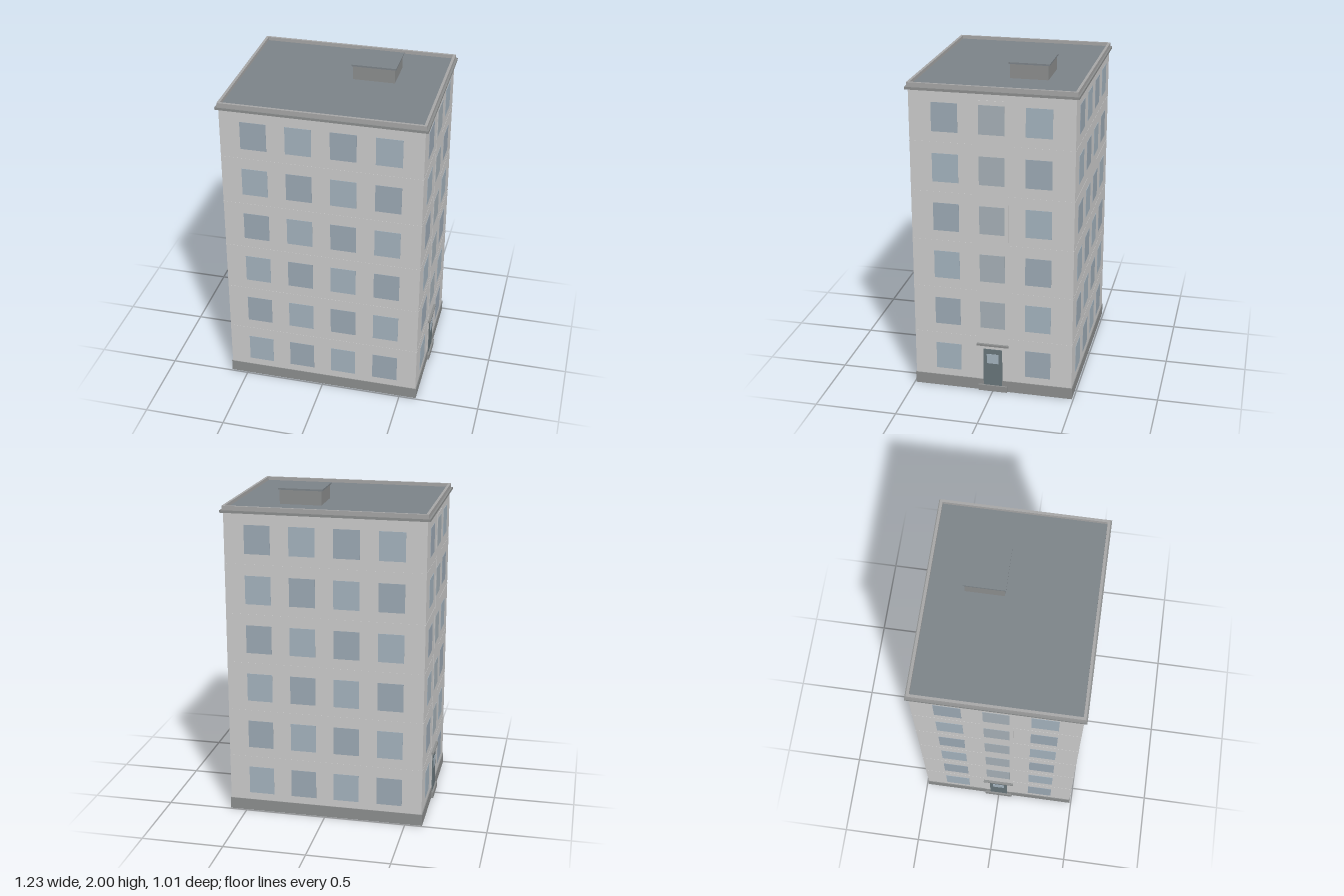
import * as THREE from 'three';

const material = (color) => new THREE.MeshStandardMaterial({ color });
const WALL = material(0xcccccc);
const BAND = material(0xc6c6c6);
const STRIP = material(0xbebebe);
const TRIM = material(0x8c8e8e);
const PARAPET = material(0xa6a6a6);
const ROOF = material(0x7c8388);
const DOOR = material(0x68757a);
const GLASS = [material(0xa4b3be), material(0x9ca9b4)];
const STAIR_GLASS = material(0xa6b0b7);

const HX = 0.6, HZ = 0.487;            // half sizes of the walls
const FLOORS = 6, PITCH = 0.305, FIRST = 0.205;

export function createModel() {
  const model = new THREE.Group();
  model.name = 'apartmentBlock';

  // Box given by its minimum and maximum corners
  function box(name, mat, [x0, y0, z0], [x1, y1, z1], parent = model) {
    const mesh = new THREE.Mesh(new THREE.BoxGeometry(x1 - x0, y1 - y0, z1 - z0), mat);
    mesh.position.set((x0 + x1) / 2, (y0 + y1) / 2, (z0 + z1) / 2);
    mesh.name = name;
    parent.add(mesh);
    return mesh;
  }

  // Rectangular ring with an open middle, from y0 to y1
  function ring(name, mat, x, z, thickness, y0, y1) {
    const rectangle = (path, a, b) =>
      path.moveTo(-a, -b).lineTo(a, -b).lineTo(a, b).lineTo(-a, b).closePath();
    const shape = new THREE.Shape();
    const hole = new THREE.Path();
    rectangle(shape, x, z);
    rectangle(hole, x - thickness, z - thickness);
    shape.holes.push(hole);
    const geometry = new THREE.ExtrudeGeometry(shape, { depth: y1 - y0, bevelEnabled: false });
    geometry.rotateX(-Math.PI / 2).translate(0, y0, 0);
    const mesh = new THREE.Mesh(geometry, mat);
    mesh.name = name;
    model.add(mesh);
  }

  // Shell: walls, base and roof edge
  ring('walls', WALL, HX, HZ, 0.008, 0, 1.9);
  ring('plinth', TRIM, HX + 0.005, HZ + 0.004, 0.006, 0, 0.072);
  ring('cornice', TRIM, HX + 0.017, HZ + 0.017, 0.03, 1.885, 1.9);
  ring('parapet', PARAPET, HX + 0.006, HZ + 0.008, 0.016, 1.9, 1.925);
  box('groundSlab', WALL, [-HX + 0.004, 0.07, -HZ + 0.004], [HX - 0.004, 0.08, HZ - 0.004]);
  box('roofDeck', ROOF, [-HX + 0.004, 1.89, -HZ + 0.004], [HX - 0.004, 1.904, HZ - 0.004]);

  // Thin joints between the storeys
  for (let i = 0; i < FLOORS - 1; i++) {
    const y = 0.357 + i * PITCH;
    ring('storeyBand', BAND, HX + 0.001, HZ + 0.001, 0.004, y - 0.004, y + 0.004);
  }

  // Roof access hatch
  box('hatch', TRIM, [0.063, 1.9, -0.271], [0.316, 1.99, -0.043]);
  box('hatchLid', ROOF, [0.055, 1.99, -0.279], [0.323, 2, -0.035]);

  // A facade faces +z locally; "wall" is its distance from the centre
  function facade(name, angle, wall, columns) {
    const group = new THREE.Group();
    group.name = name;
    group.rotation.y = angle;
    model.add(group);
    for (let floor = 0; floor < FLOORS; floor++) {
      const y = FIRST + floor * PITCH;
      columns.forEach((x, c) => box('window', GLASS[(floor + c) % 2],
        [x - 0.078, y - 0.087, wall - 0.004], [x + 0.078, y + 0.087, wall + 0.002], group));
    }
    return group;
  }

  for (const [side, angle] of [['front', 0], ['back', Math.PI]]) {
    facade(side + 'Facade', angle, HZ, [-0.4, -0.133, 0.133, 0.4]);
  }

  for (const [side, angle] of [['left', Math.PI / 2], ['right', -Math.PI / 2]]) {
    const group = facade(side + 'Facade', angle, HX, [-0.277, 0.277]);

    // Stairwell strip with its own windows
    box('stairStrip', STRIP, [-0.097, 0.04, HX - 0.004], [0.097, 1.844, HX + 0.002], group);
    for (let floor = 1; floor < FLOORS; floor++) {
      const y = FIRST + floor * PITCH;
      box('stairWindow', STAIR_GLASS,
        [-0.076, y - 0.087, HX - 0.002], [0.076, y + 0.087, HX + 0.004], group);
    }

    // Entrance
    box('doorStep', TRIM, [-0.09, 0, HX], [0.09, 0.038, HX + 0.017], group);
    box('door', DOOR, [-0.058, 0.038, HX - 0.002], [0.058, 0.281, HX + 0.007], group);
    box('doorWindow', GLASS[0], [-0.037, 0.187, HX], [0.037, 0.25, HX + 0.009], group);
    box('canopy', TRIM, [-0.098, 0.305, HX - 0.002], [0.098, 0.317, HX + 0.017], group);
  }

  return model;
}
